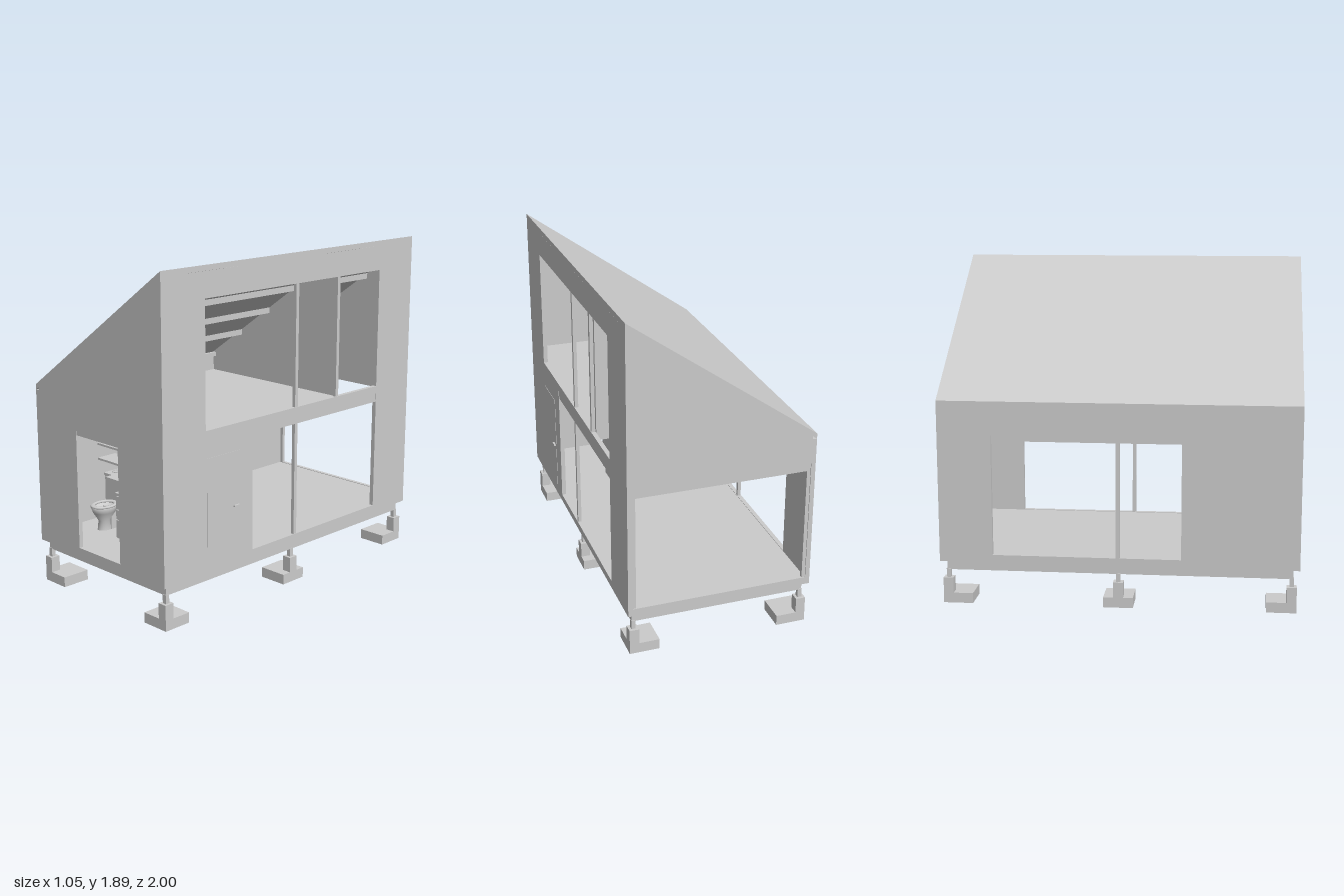
import * as THREE from 'three';

const mat = new THREE.MeshStandardMaterial({ color: 0xcccccc, side: THREE.DoubleSide });
const T = 0.025; // wall thickness
const roofY = (x) => 1.5225 + 0.707 * x; // outer roof surface

export function createModel() {
  const house = new THREE.Group();
  house.name = 'tinyHouse';

  const add = (name, geo, parent = house) => {
    const m = new THREE.Mesh(geo, mat);
    m.name = name;
    parent.add(m);
    return m;
  };
  // Box given by its limits on each axis
  const box = (name, x0, x1, y0, y1, z0, z1, parent) =>
    add(name, new THREE.BoxGeometry(x1 - x0, y1 - y0, z1 - z0), parent)
      .position.set((x0 + x1) / 2, (y0 + y1) / 2, (z0 + z1) / 2);
  const group = (name) => {
    const g = new THREE.Group();
    g.name = name;
    house.add(g);
    return g;
  };
  // Flat panel from an outline with rectangular holes [u0, u1, v0, v1]
  const panel = (outline, holes, depth) => {
    const s = new THREE.Shape(outline.map(([u, v]) => new THREE.Vector2(u, v)));
    for (const [a, b, c, d] of holes) {
      s.holes.push(new THREE.Path([[a, c], [a, d], [b, d], [b, c]].map(([u, v]) => new THREE.Vector2(u, v))));
    }
    return new THREE.ExtrudeGeometry(s, { depth, bevelEnabled: false });
  };

  // Side walls
  const lower = [-0.7, 0.35, 0.288, 0.985];
  const upper = [-0.7, 0.7, 1.03, 1.72];
  const sideWall = (name, x, top, holes) => {
    const g = panel([[-1, 0.245], [1, 0.245], [1, top], [-1, top]], holes, T);
    g.rotateY(-Math.PI / 2);
    g.translate(x, 0, 0);
    add(name, g);
  };
  sideWall('leftWall', 0.52, 1.86, [lower, upper]);
  sideWall('rightWall', -0.52 + T, 1.125, [lower]);

  // End walls
  const X = 0.52 - T, drop = 0.03;
  const gable = (y0) => [[-X, y0], [X, y0], [X, roofY(X) - drop], [-X, roofY(-X) - drop]];
  const front = panel(gable(0.245), [[-0.175, 0.17, 0.285, 0.985]], T);
  add('frontWall', front.translate(0, 0, 1 - T));
  add('backWall', panel(gable(0.985), [], T).translate(0, 0, -1));
  box('backSill', -X, X, 0.245, 0.288, -1, -1 + T);

  // Roof and purlins
  const slab = [[-0.52, roofY(-0.52) - drop], [0.52, roofY(0.52) - drop], [0.52, roofY(0.52)], [-0.52, roofY(-0.52)]];
  add('roof', panel(slab, [], 2).translate(0, 0, -1));
  for (const x of [-0.26, -0.03, 0.2]) {
    const y = roofY(x) - 0.045;
    box('purlin', x - 0.01, x + 0.01, y - 0.012, y + 0.025, -0.975, 0.975);
  }
  box('wallPlate', -X, -X + 0.02, 1.115, 1.14, -0.97, 0.97);

  // Ground floor, loft floor and loft partition
  box('floor', -X, X, 0.245, 0.285, -0.975, 0.975);
  box('loftFloor', -X, X, 0.985, 1.028, -0.37, 0.975);
  add('loftPartition', panel(gable(1.028), [], 0.02).translate(0, 0, -0.37));
  box('loftBox', -X, -X + 0.03, 1.035, 1.058, -0.245, -0.1);

  // Opening frames: posts, headers and mullions
  for (const s of [-1, 1]) {
    const x0 = s > 0 ? 0.497 : -0.517, x1 = x0 + 0.02;
    box('windowPost', x0, x1, 0.288, 0.985, -0.011, 0.011);
    box('windowHeader', x0, x1, 0.935, 0.985, -0.7, 0.35);
    box('backPost', s * 0.485 - 0.01, s * 0.485 + 0.01, 0.288, 0.985, -0.995, -0.975);
  }
  box('backHeader', -X, X, 0.94, 0.985, -0.995, -0.975);
  box('frontHeader', -0.175, 0.17, 0.93, 0.985, 0.978, 0.998);
  for (const z of [0, -0.345]) box('upperMullion', 0.497, 0.517, 1.03, 1.72, z - 0.011, z + 0.011);

  // Side door
  const door = group('sideDoor');
  box('doorPanel', 0.5, 0.522, 0.288, 0.88, 0.45, 0.69, door);
  box('doorHandle', 0.52, 0.533, 0.572, 0.58, 0.46, 0.5, door);

  // Under-floor frame
  for (const s of [-1, 1]) {
    box('edgeBeam', s * 0.48 - 0.012, s * 0.48 + 0.012, 0.19, 0.245, -0.965, 0.965);
  }
  for (let i = 0; i < 7; i++) {
    const z = -0.953 + i * 1.906 / 6;
    box('joist', -0.468, 0.468, 0.19, 0.245, z - 0.012, z + 0.012);
  }

  // Footings: corner ones step inward, middle ones are centred along the side
  for (const sx of [-1, 1]) {
    for (const sz of [-1, 0, 1]) {
      const f = group('footing');
      const bx = sx * 0.425, cx = sx * 0.482, bz = sz * 0.902, cz = sz * 0.957;
      box('footingBase', bx - 0.084, bx + 0.084, 0, 0.058, bz - 0.083, bz + 0.083, f);
      box('footingColumn', cx - 0.027, cx + 0.027, 0.055, 0.145, cz - 0.028, cz + 0.028, f);
      box('post', cx - 0.012, cx + 0.012, 0.14, 0.195, cz - 0.012, cz + 0.012, f);
    }
  }

  // Drawer stack with its front at z, facing dir
  const drawers = (name, x0, x1, z, depth, dir) => {
    const g = group(name);
    const back = z - dir * depth;
    box('cabinet', x0, x1, 0.285, 0.54, Math.min(z, back), Math.max(z, back), g);
    [[0.292, 0.395], [0.402, 0.455], [0.462, 0.535]].forEach(([a, b]) => {
      const zf = z + dir * 0.004, c = (x0 + x1) / 2, zh = z + dir * 0.012;
      box('drawerFront', x0 + 0.004, x1 - 0.004, a, b, zf - 0.004, zf + 0.004, g);
      box('drawerHandle', c - 0.02, c + 0.02, b - 0.008, b - 0.002, zh - 0.006, zh + 0.006, g);
    });
  };
  const tap = (x, z, dir) => {
    const path = new THREE.CatmullRomCurve3([[0.55, 0], [0.59, 0], [0.605, 0.015], [0.59, 0.035]]
      .map(([y, d]) => new THREE.Vector3(x, y, z + dir * d)));
    add('tap', new THREE.TubeGeometry(path, 12, 0.004, 8));
  };

  // Washroom vanity, kitchen units and worktops
  drawers('vanity', -0.15, 0.02, 0.75, 0.18, 1);
  drawers('kitchenDrawers', -0.34, -0.2, 0.37, 0.18, -1);
  drawers('kitchenDrawers', -0.49, -0.345, 0.37, 0.18, -1);
  box('vanityTop', -0.155, 0.022, 0.54, 0.553, 0.57, 0.757);
  box('kitchenTop', -0.49, 0.02, 0.54, 0.553, 0.36, 0.56);
  box('kitchenEndPanel', 0.02, 0.18, 0.285, 0.69, 0.37, 0.56);
  tap(-0.065, 0.62, 1);
  tap(-0.27, 0.52, -1);
  for (const [x, z] of [[-0.45, 0.42], [-0.45, 0.5], [-0.38, 0.42], [-0.38, 0.5]]) {
    const ring = new THREE.TorusGeometry(0.022, 0.003, 6, 20).rotateX(Math.PI / 2);
    add('hobRing', ring.translate(x, 0.555, z));
  }

  // Washing machine
  const washer = group('washingMachine');
  box('washerBody', -0.195, -0.005, 0.285, 0.535, 0.37, 0.55, washer);
  add('washerDoor', new THREE.TorusGeometry(0.05, 0.01, 8, 24), washer).position.set(-0.1, 0.405, 0.368);
  box('washerControls', -0.185, -0.015, 0.495, 0.525, 0.364, 0.37, washer);

  // Wall cupboards and open shelves
  box('wallCupboard', -0.15, 0.02, 0.64, 0.985, 0.5, 0.68);
  box('wallCupboard', 0.02, 0.18, 0.72, 0.985, 0.45, 0.6);
  for (const y of [0.64, 0.73, 0.82, 0.91]) box('shelf', -0.49, -0.155, y, y + 0.012, 0.47, 0.6);
  box('shelfSide', -0.165, -0.155, 0.64, 0.985, 0.47, 0.6);

  // Water heater
  const heater = group('waterHeater');
  const tank = [[0, 0.285], [0.066, 0.285], [0.066, 0.68], [0.055, 0.69], [0, 0.692]];
  add('tank', new THREE.LatheGeometry(tank.map(([r, y]) => new THREE.Vector2(r, y)), 32), heater)
    .position.set(0.102, 0, 0.65);
  box('heaterControl', 0.075, 0.13, 0.3, 0.36, 0.7, 0.722, heater);
  box('heaterControlTop', 0.088, 0.118, 0.36, 0.4, 0.7, 0.72, heater);

  // Toilet
  const toilet = group('toilet');
  const bowl = [[0.035, 0.285], [0.03, 0.34], [0.055, 0.39], [0.066, 0.425], [0.05, 0.425], [0.03, 0.38], [0, 0.37]];
  const b = add('bowl', new THREE.LatheGeometry(bowl.map(([r, y]) => new THREE.Vector2(r, y)), 24), toilet);
  b.scale.z = 1.3;
  b.position.set(-0.32, 0, 0.7);
  const seat = add('seat', new THREE.TorusGeometry(0.055, 0.012, 8, 24).rotateX(Math.PI / 2), toilet);
  seat.scale.set(1, 0.6, 1.3);
  seat.position.set(-0.32, 0.43, 0.7);
  box('cistern', -0.39, -0.25, 0.41, 0.55, 0.565, 0.62, toilet);
  box('cisternLid', -0.395, -0.245, 0.55, 0.562, 0.56, 0.625, toilet);
  box('toiletFoot', -0.355, -0.285, 0.285, 0.41, 0.575, 0.68, toilet);

  return house;
}
